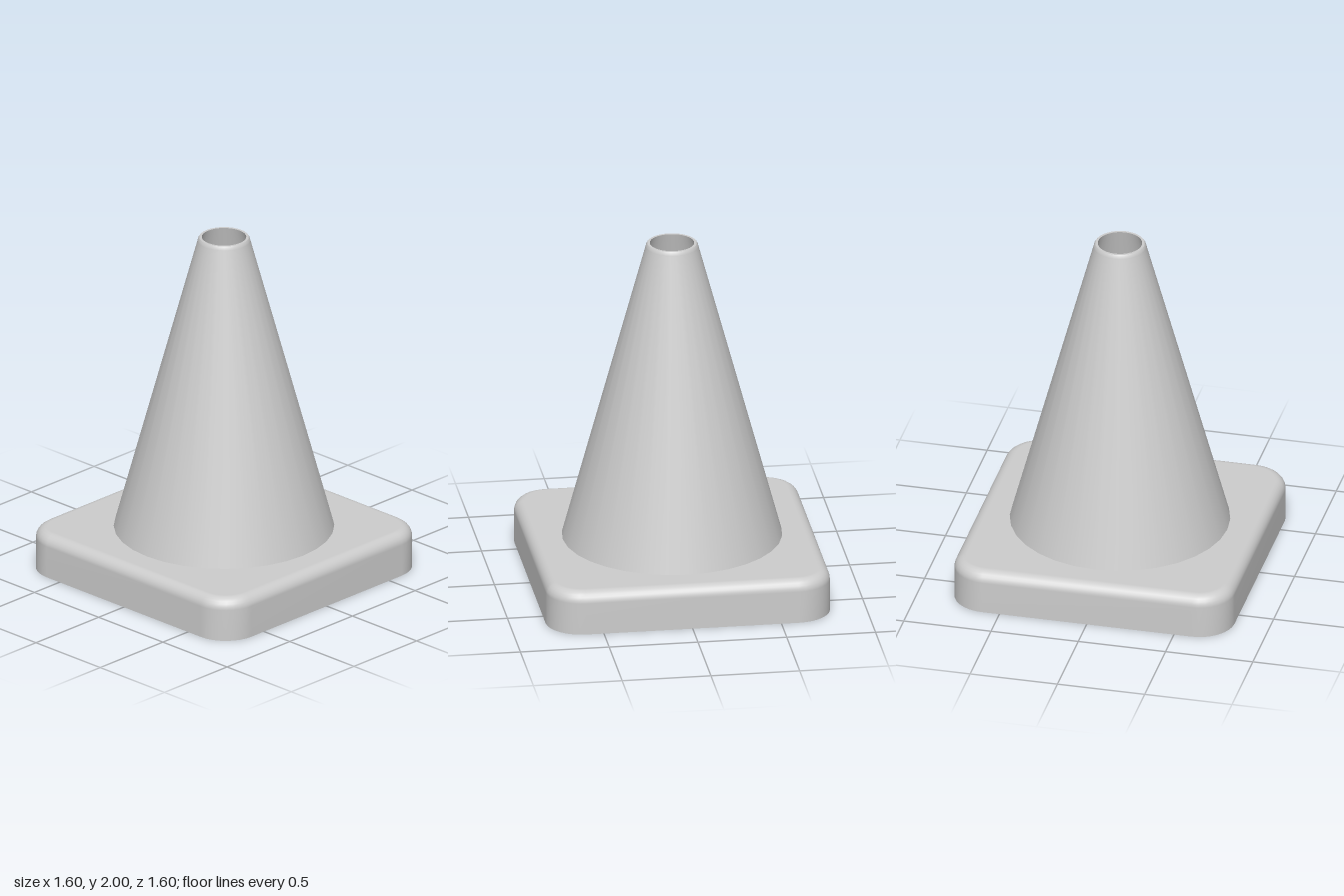
import * as THREE from 'three';

const grey = new THREE.MeshStandardMaterial({ color: 0xcccccc });
grey.name = 'light grey';

// Outline of the square foot with rounded corners, inset towards the middle
function roundedSquare(inset, y, corner = 8) {
  const r = 0.2 - inset, c = 0.6, points = [];
  for (let q = 0; q < 4; q++) {
    const mid = Math.PI / 4 + q * Math.PI / 2;
    const cx = Math.sign(Math.cos(mid)) * c, cz = Math.sign(Math.sin(mid)) * c;
    for (let i = 0; i <= corner; i++) {
      const a = (q + i / corner) * Math.PI / 2;
      points.push([cx + r * Math.cos(a), y, cz + r * Math.sin(a)]);
    }
  }
  return points;
}

// Smooth band through a list of [inset, y] outlines; inset null is the centre
function band(profile) {
  const rings = profile.map(([d, y]) =>
    d === null ? roundedSquare(0, y).map(() => [0, y, 0]) : roundedSquare(d, y));
  const n = rings[0].length, index = [];
  for (let i = 0; i < rings.length - 1; i++) {
    for (let j = 0; j < n; j++) {
      const k = (j + 1) % n;
      const a = i * n + j, b = i * n + k, c = a + n, d = b + n;
      if (profile[i][0] !== null) index.push(a, c, b);
      if (profile[i + 1][0] !== null) index.push(b, c, d);
    }
  }
  const geo = new THREE.BufferGeometry();
  geo.setAttribute('position', new THREE.Float32BufferAttribute(rings.flat(2), 3));
  geo.setIndex(index);
  geo.computeVertexNormals();
  return geo;
}

function addMesh(group, name, geometry) {
  const mesh = new THREE.Mesh(geometry, grey);
  mesh.name = name;
  group.add(mesh);
}

function lathe(points) {
  return new THREE.LatheGeometry(points.map(([x, y]) => new THREE.Vector2(x, y)), 32);
}

export function createModel() {
  const model = new THREE.Group();
  model.name = 'trafficCone';

  // Foot: straight sides, rounded upper edge, flat top
  const foot = new THREE.Group();
  foot.name = 'foot';
  const height = 0.25, bevel = 0.065, rim = 0.1, ceiling = 0.125;
  const outer = [[0, 0]];
  for (let i = 0; i <= 6; i++) {
    const a = i / 6 * Math.PI / 2;
    outer.push([bevel * (1 - Math.cos(a)), height - bevel * (1 - Math.sin(a))]);
  }
  outer.push([null, height]);
  addMesh(foot, 'footShell', band(outer));

  // Hollow underside
  addMesh(foot, 'recessCeiling', band([[null, ceiling], [rim, ceiling]]));
  addMesh(foot, 'recessWall', band([[rim, ceiling], [rim, 0]]));
  addMesh(foot, 'footRim', band([[rim, 0], [0, 0]]));
  model.add(foot);

  // Hollow cone, open at the tip
  const cone = new THREE.Group();
  cone.name = 'cone';
  addMesh(cone, 'coneOuterWall', lathe([[0.615, height], [0.148, 1.977]]));
  addMesh(cone, 'coneTipEdge', lathe([[0.148, 1.977], [0.145, 1.99], [0.138, 2]]));
  addMesh(cone, 'coneTipRim', lathe([[0.138, 2], [0.124, 2]]));
  addMesh(cone, 'coneInnerWall', lathe([[0.124, 2], [0.59, height]]));
  model.add(cone);

  return model;
}
